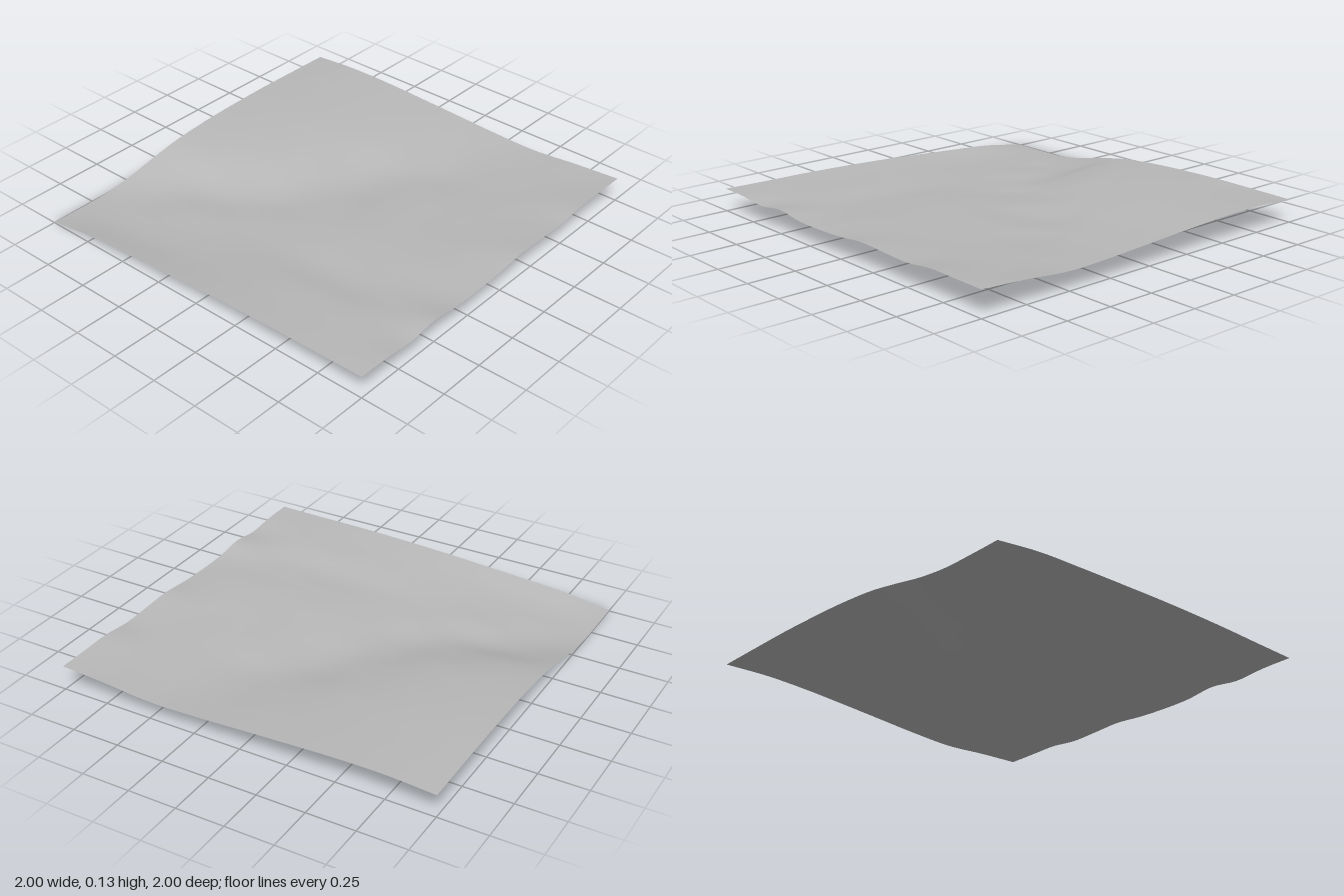
import * as THREE from 'three';

// Coarse terrain heights in thousandths: rows run back to front, columns left to right as seen from the front
const HEIGHTS = [
  [120, 135, 134, 124, 112, 100, 96, 117, 133],
  [122, 132, 131, 119, 104, 88, 90, 108, 134],
  [124, 129, 127, 113, 93, 77, 88, 105, 135],
  [125, 127, 122, 105, 78, 68, 86, 104, 118],
  [122, 122, 113, 90, 58, 74, 88, 104, 122],
  [117, 114, 101, 73, 52, 76, 90, 105, 127],
  [107, 102, 84, 52, 58, 78, 92, 106, 112],
  [90, 78, 54, 37, 60, 80, 92, 104, 105],
  [60, 34, 27, 42, 58, 76, 86, 96, 106],
  [26, 16, 34, 44, 56, 70, 82, 98, 124],
  [6, 18, 32, 48, 66, 84, 98, 108, 106],
  [4, 22, 38, 58, 78, 94, 104, 113, 118],
  [6, 45, 64, 80, 95, 106, 113, 116, 120],
];

// Smooth cubic interpolation through evenly spaced values, t from 0 to 1
function smoothSample(values, t) {
  const last = values.length - 1;
  const i = Math.min(Math.floor(t * last), last - 1);
  const f = t * last - i;
  const b = values[i], c = values[i + 1];
  const a = i > 0 ? values[i - 1] : 2 * b - c;
  const d = i + 2 <= last ? values[i + 2] : 2 * c - b;
  return b + 0.5 * f * (c - a + f * (2 * a - 5 * b + 4 * c - d + f * (3 * (b - c) + d - a)));
}

function heightAt(x, z) {
  const u = THREE.MathUtils.clamp((x + 1) / 2, 0, 1);
  const v = THREE.MathUtils.clamp((z + 1) / 2, 0, 1);
  return Math.max(0, smoothSample(HEIGHTS.map((row) => smoothSample(row, u)), v) / 1000);
}

export function createModel() {
  const group = new THREE.Group();
  group.name = 'terrain';

  const stone = new THREE.MeshStandardMaterial({ color: 0xb8b8b8, side: THREE.DoubleSide });
  stone.name = 'stone grey';

  // Open sheet of ground with a valley running diagonally across it
  const geometry = new THREE.PlaneGeometry(2, 2, 80, 80).rotateX(-Math.PI / 2);
  const position = geometry.attributes.position;
  for (let i = 0; i < position.count; i++) {
    position.setY(i, heightAt(position.getX(i), position.getZ(i)));
  }
  geometry.computeBoundingBox();
  geometry.translate(0, -geometry.boundingBox.min.y, 0);
  geometry.computeVertexNormals();

  const ground = new THREE.Mesh(geometry, stone);
  ground.name = 'groundSurface';
  group.add(ground);
  return group;
}
